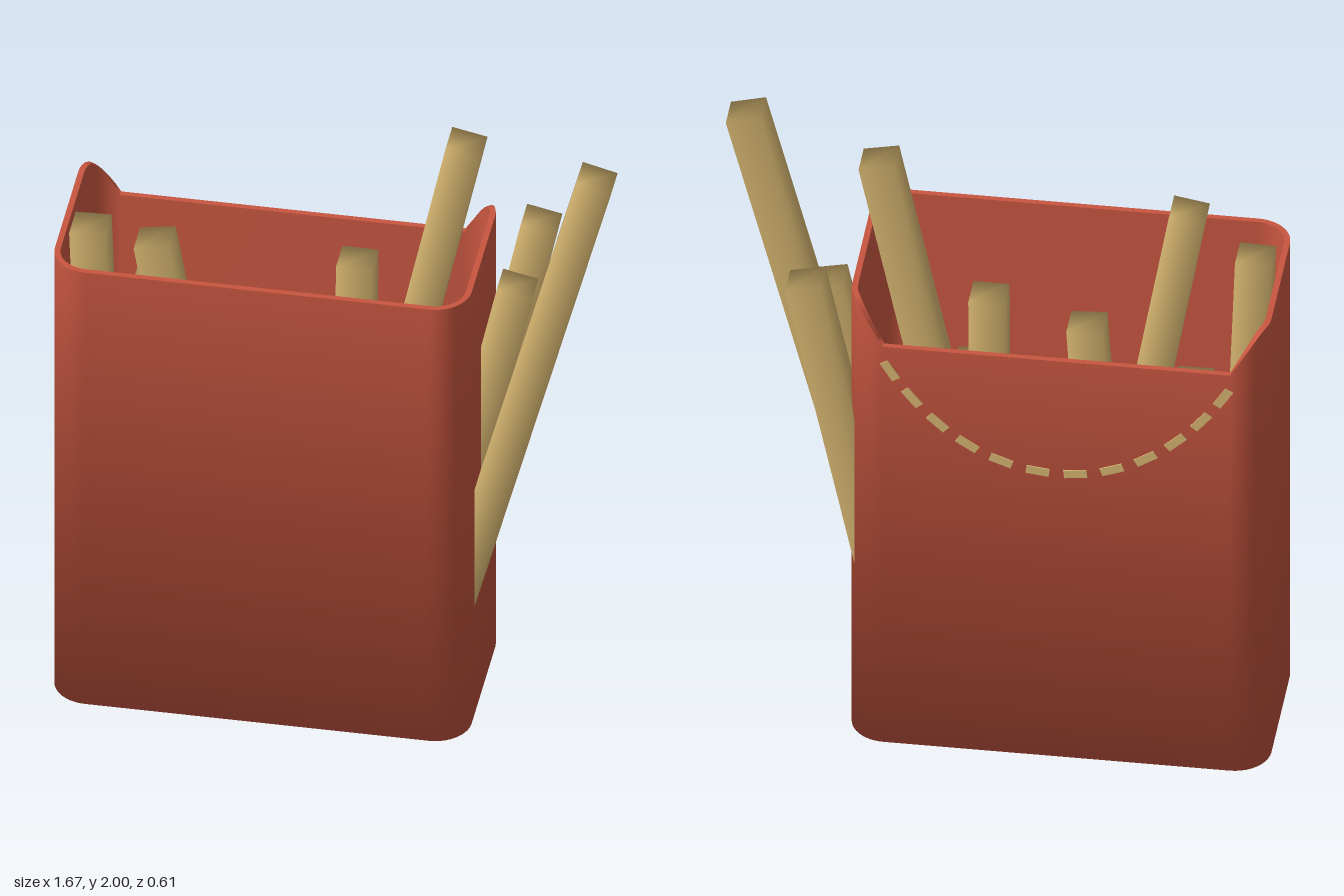
import * as THREE from 'three';
import { mergeVertices, mergeGeometries } from 'three/addons/utils/BufferGeometryUtils.js';

const CX = -0.21, HALF_X = 0.63, HALF_Z = 0.305, RADIUS = 0.11, WALL = 0.018;
const TOP = 1.59, BACK_TOP = 1.45;

// Rim height: full at the front and sides, rounding down to the low back wall
function rimHeight(z) {
  const t = THREE.MathUtils.clamp((-0.235 - z) / 0.07, 0, 1);
  return BACK_TOP + (TOP - BACK_TOP) * Math.sqrt(1 - t * t);
}

// Rounded rectangle ring, pulled in by inset; height is a function of the outer z
function ring(inset, height) {
  const points = [], steps = 10;
  [[1, 1], [-1, 1], [-1, -1], [1, -1]].forEach(([sx, sz], corner) => {
    for (let i = 0; i <= steps; i++) {
      const a = (corner + i / steps) * Math.PI / 2;
      const c = Math.cos(a), s = Math.sin(a), r = RADIUS - inset;
      const x = CX + sx * (HALF_X - RADIUS) + c * r;
      const zc = sz * (HALF_Z - RADIUS);
      points.push([x, height(zc + s * RADIUS), zc + s * r]);
    }
  });
  return points;
}

// Skin a list of rings
function loft(rings) {
  const n = rings[0].length, index = [];
  for (let k = 0; k < rings.length - 1; k++) {
    for (let i = 0; i < n; i++) {
      const j = (i + 1) % n, a = k * n, b = a + n;
      index.push(a + i, b + i, a + j, a + j, b + i, b + j);
    }
  }
  const g = new THREE.BufferGeometry();
  g.setAttribute('position', new THREE.Float32BufferAttribute(rings.flat(2), 3));
  g.setIndex(index);
  g.computeVertexNormals();
  return g;
}

function cartonGeometry() {
  const low = ring(0, () => 0), high = ring(0, rimHeight);
  const innerHigh = ring(WALL, rimHeight), innerLow = ring(WALL, () => 0.02);
  const centre = y => low.map(() => [CX, y, 0]);
  const outside = loft([centre(0), low, high]);
  // Soft bottom edge: wall normals roll under towards the base
  const normal = outside.attributes.normal, n = low.length, v = new THREE.Vector3();
  for (let i = 0; i < n; i++) {
    const a = (Math.floor(i / 11) + (i % 11) / 10) * Math.PI / 2;
    normal.setXYZ(i, 0, -1, 0);
    v.set(Math.cos(a), -1, Math.sin(a)).normalize();
    normal.setXYZ(n + i, v.x, v.y, v.z);
    normal.setXYZ(2 * n + i, Math.cos(a), 0, Math.sin(a));
  }
  return mergeGeometries([outside, loft([high, innerHigh]),
    loft([innerHigh, innerLow]), loft([innerLow, centre(0.02)])]);
}

// Square stick with softened normals
function stickGeometry(length) {
  const g = new THREE.BoxGeometry(0.109, length, 0.109);
  g.deleteAttribute('uv');
  g.deleteAttribute('normal');
  const merged = mergeVertices(g);
  merged.computeVertexNormals();
  return merged;
}

export function createModel() {
  const model = new THREE.Group();
  const red = new THREE.MeshStandardMaterial({ color: 0xc85640 });
  red.name = 'carton red';
  const gold = new THREE.MeshStandardMaterial({ color: 0xd2b26e });
  gold.name = 'potato gold';

  const carton = new THREE.Mesh(cartonGeometry(), red);
  carton.name = 'carton';
  model.add(carton);

  // Fries: [bottom x, bottom y, top x, top y, z]
  const fries = [
    [0.275, 0.06, 0.78, 1.985, 0.095],
    [0.235, 0.07, 0.56, 1.595, -0.195],
    [0.21, 0.06, 0.52, 1.48, -0.015],
    [-0.045, 0.06, 0.36, 1.957, -0.05],
    [-0.255, 0.06, -0.537, 1.673, 0.205],
    [-0.695, 0.05, -0.752, 1.613, 0.09],
    [-0.62, 0.05, -0.597, 1.3, -0.125],
    [-0.335, 0.05, -0.25, 1.34, 0.055],
    [0.02, 0.05, 0.03, 1.49, -0.045],
    [-0.075, 0.05, 0.085, 1.2, 0.025],
    [-0.17, 0.05, -0.165, 1.25, -0.085],
  ];
  const friesGroup = new THREE.Group();
  friesGroup.name = 'fries';
  for (const [x0, y0, x1, y1, z] of fries) {
    const fry = new THREE.Mesh(stickGeometry(Math.hypot(x1 - x0, y1 - y0)), gold);
    fry.name = 'fry';
    fry.position.set((x0 + x1) / 2, (y0 + y1) / 2, z);
    fry.rotation.z = -Math.atan2(x1 - x0, y1 - y0);
    friesGroup.add(fry);
  }
  model.add(friesGroup);

  // Dashed curve on the back wall, evenly spaced
  const curve = new THREE.CatmullRomCurve3(Array.from({ length: 21 }, (_, i) => {
    const d = (i / 10 - 1) * 0.53;
    return new THREE.Vector3(CX + d, 1.04 + 1.05 * d * d + d ** 4, -HALF_Z - 0.001);
  }));
  const dashes = new THREE.Group();
  dashes.name = 'dashedLine';
  const count = 12;
  for (let i = 0; i < count; i++) {
    const u = (i + 0.5) / count, t = curve.getTangentAt(u);
    const dash = new THREE.Mesh(new THREE.BoxGeometry(0.07, 0.027, 0.006), gold);
    dash.name = 'dash';
    dash.position.copy(curve.getPointAt(u));
    dash.rotation.z = Math.atan2(t.y, t.x);
    dashes.add(dash);
  }
  model.add(dashes);
  return model;
}
